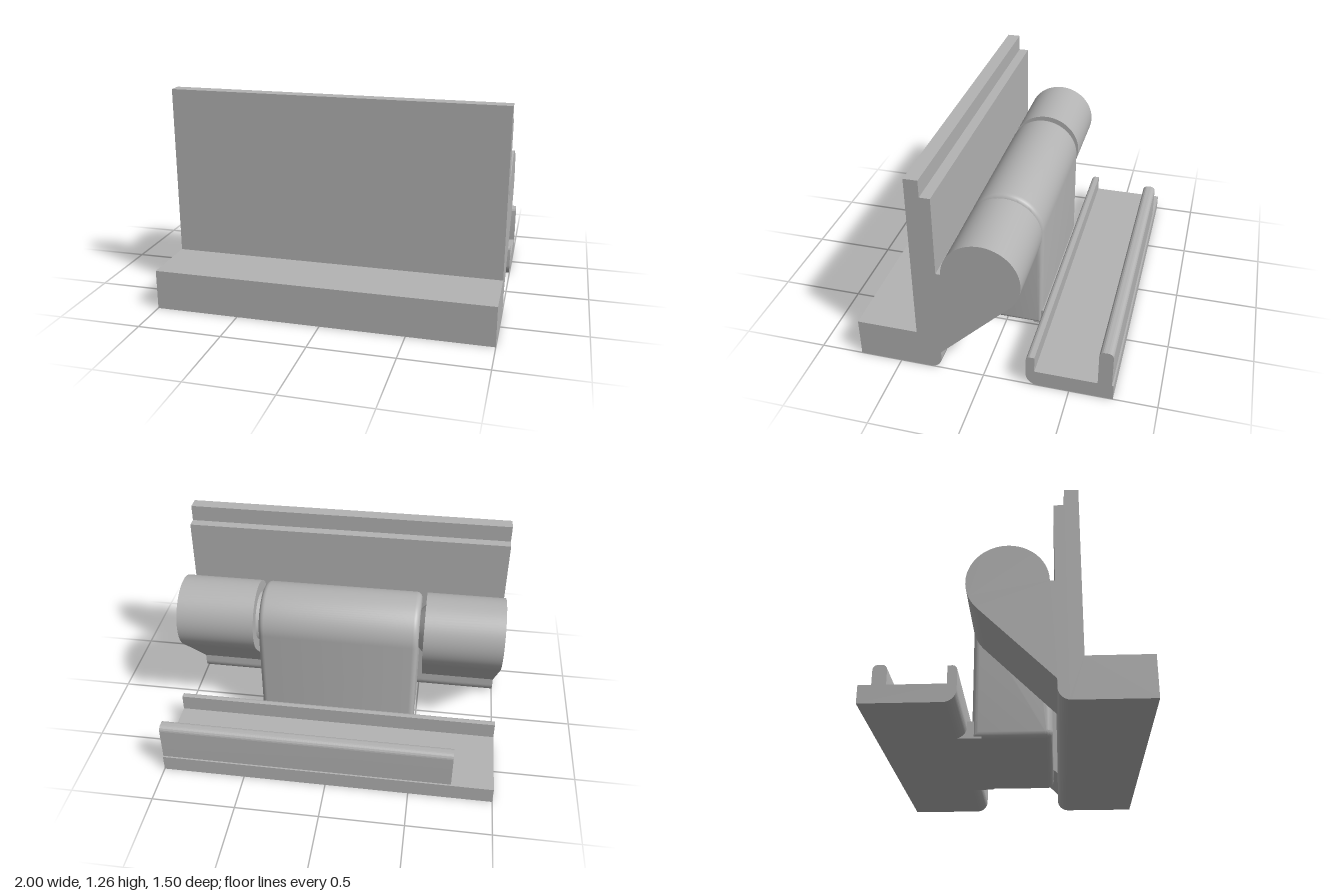
import * as THREE from 'three';
import { toCreasedNormals } from 'three/addons/utils/BufferGeometryUtils.js';

const R = 0.223;      // knuckle radius
const PIVOT = 0.682;  // height of the hinge axis

export function createModel() {
  const model = new THREE.Group();
  model.name = 'hinge';
  const grey = new THREE.MeshStandardMaterial({ color: 0xb3b3b3 });
  grey.name = 'grey';

  const add = (parent, geometry, name) => {
    const mesh = new THREE.Mesh(toCreasedNormals(geometry, 0.5), grey);
    mesh.name = name;
    parent.add(mesh);
    return mesh;
  };

  // Sweep a side profile (u = -z, v = y) along x, optionally with rounded ends
  const sweep = (shape, x0, x1, bevel = 0) => {
    const g = new THREE.ExtrudeGeometry(shape, {
      depth: x1 - x0 - 2 * bevel, curveSegments: 24, bevelEnabled: bevel > 0,
      bevelSize: bevel, bevelThickness: bevel, bevelOffset: -bevel, bevelSegments: 5,
    });
    g.rotateY(Math.PI / 2);
    g.translate(x0 + bevel, 0, 0);
    return g;
  };

  // Polygon profile whose corners may carry a radius: [u, v, r]
  const profile = (points) => {
    const s = new THREE.Shape();
    const n = points.length;
    points.forEach(([u, v, r = 0], i) => {
      const c = new THREE.Vector2(u, v);
      if (!r) return i ? s.lineTo(u, v) : s.moveTo(u, v);
      const prev = new THREE.Vector2(...points[(i + n - 1) % n].slice(0, 2)).sub(c).normalize();
      const next = new THREE.Vector2(...points[(i + 1) % n].slice(0, 2)).sub(c).normalize();
      const a = prev.clone().multiplyScalar(r).add(c);
      const o = a.clone().addScaledVector(next, r); // square corners only
      s.lineTo(a.x, a.y);
      const start = Math.atan2(a.y - o.y, a.x - o.x);
      s.absarc(o.x, o.y, r, start, start + Math.PI / 2, false);
    });
    s.closePath();
    return s;
  };

  // Front leaf: foot, upright wall and stepped top edge
  const front = new THREE.Group();
  front.name = 'frontLeaf';
  model.add(front);
  add(front, sweep(profile([
    [-0.75, 0], [-0.25, 0, 0.07], [-0.25, 1.16], [-0.31, 1.16],
    [-0.31, 1.26], [-0.39, 1.26], [-0.39, 0.24], [-0.75, 0.24],
  ]), -1, 1), 'frontWall');

  // Outer knuckles: round barrel tangent to a 45 degree underside
  const d = R * Math.SQRT1_2;
  const knuckle = new THREE.Shape();
  knuckle.moveTo(-0.252, PIVOT - 2 * d - 0.252);
  knuckle.lineTo(d, PIVOT - d);
  knuckle.absarc(0, PIVOT, R, -Math.PI / 4, Math.PI, false);
  knuckle.lineTo(-0.252, PIVOT);
  knuckle.closePath();
  for (const side of [-1, 1]) {
    const [x0, x1] = side > 0 ? [0.52, 1] : [-1, -0.52];
    add(front, sweep(knuckle, x0, x1), side > 0 ? 'leftKnuckle' : 'rightKnuckle');

    // Tapered pivot pin reaching into the centre barrel
    const pin = new THREE.CylinderGeometry(0.11, 0.15, 0.04, 40);
    pin.rotateZ(side * Math.PI / 2);
    pin.translate(side * 0.5, PIVOT, 0);
    add(front, pin, side > 0 ? 'leftPin' : 'rightPin');
  }

  // Rear leaf: tray with a low lip, full-length along x
  const rear = new THREE.Group();
  rear.name = 'rearLeaf';
  model.add(rear);
  add(rear, sweep(profile([
    [0.75, 0], [0.75, 0.1], [0.3, 0.1], [0.3, 0.2], [0.25, 0.2, 0.025], [0.25, 0, 0.07],
  ]), -1, 1), 'tray');

  // Tall rail, stopping short at one end
  add(rear, sweep(profile([
    [0.66, 0.09], [0.74, 0.09], [0.74, 0.33, 0.03], [0.66, 0.33, 0.03],
  ]), -0.75, 1), 'rail');

  // Neck joining the tray to the centre barrel
  add(rear, sweep(profile([[0.17, 0], [0.325, 0], [0.325, 0.1], [0.17, 0.1]]), -0.48, 0.48), 'neck');

  // Centre barrel: rounded-top block with softened ends
  const block = new THREE.Shape();
  block.moveTo(-R + 0.045, 0);
  block.lineTo(R, 0);
  block.lineTo(R, PIVOT);
  block.absarc(0, PIVOT, R, 0, Math.PI, false);
  block.lineTo(-R, 0.045);
  block.absarc(-R + 0.045, 0.045, 0.045, Math.PI, Math.PI * 1.5, false);
  add(rear, sweep(block, -0.49, 0.49, 0.035), 'centreBarrel');

  return model;
}
